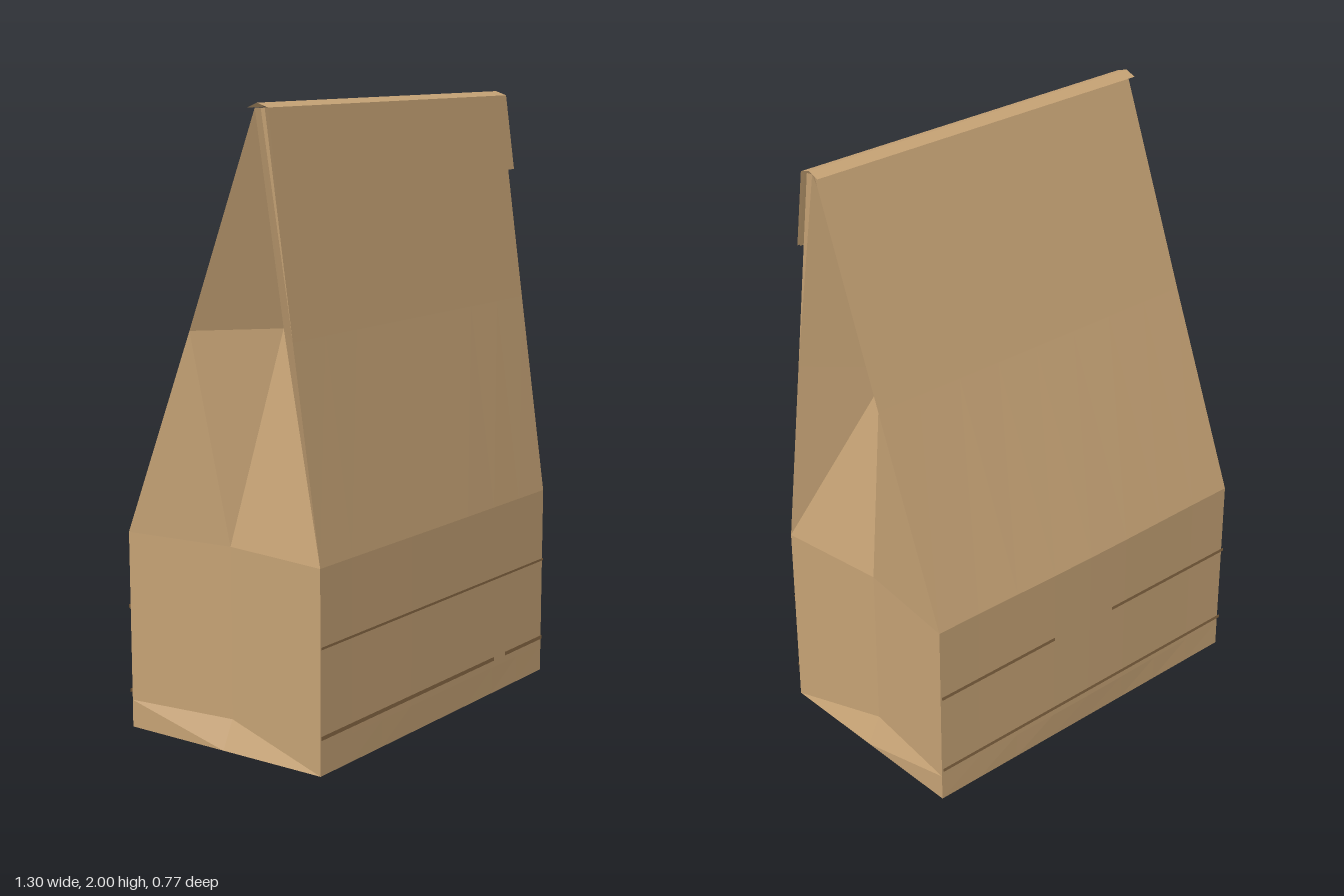
import * as THREE from 'three';

const paper = new THREE.MeshStandardMaterial({ name: 'kraft paper', color: 0xc4a174, side: THREE.DoubleSide, flatShading: true });
const crease = new THREE.MeshStandardMaterial({ name: 'crease brown', color: 0x8a6a45, side: THREE.DoubleSide, flatShading: true });

// Folded sheet: rows of points joined into quads
function sheet(name, rows, material = paper) {
  const positions = [];
  for (let r = 0; r < rows.length - 1; r++) {
    for (let c = 0; c < rows[r].length - 1; c++) {
      const a = rows[r][c], b = rows[r][c + 1], d = rows[r + 1][c], e = rows[r + 1][c + 1];
      positions.push(...a, ...b, ...e, ...a, ...e, ...d);
    }
  }
  const geometry = new THREE.BufferGeometry();
  geometry.setAttribute('position', new THREE.Float32BufferAttribute(positions, 3));
  geometry.computeVertexNormals();
  const mesh = new THREE.Mesh(geometry, material);
  mesh.name = name;
  return mesh;
}

export function createModel() {
  const bag = new THREE.Group();
  bag.name = 'paperBag';
  const W = 0.64;

  // Fold levels: height, front z, back z, gusset middle z, gusset inset
  const levels = [
    [0, 0.378, -0.376, 0, 0],
    [0.09, 0.378, -0.376, 0, 0.045],
    [0.645, 0.378, -0.378, 0, 0.045],
    [1.31, 0.28, -0.115, 0.083, 0.21],
    [1.985, 0.182, 0.145, 0.163, 0.005],
  ];

  // Front and back panels, the lower back bowed slightly outwards
  const columns = Array.from({ length: 9 }, (_, i) => -W + (i * W) / 4);
  const bow = (x, y) => (y > 0 && y < 1 ? 0.006 * Math.cos((x / W) * Math.PI / 2) ** 2 : 0);
  bag.add(sheet('frontPanel', levels.map(([y, f]) => columns.map((x) => [x, y, f + bow(x, y) * 0.3]))));
  bag.add(sheet('backPanel', levels.map(([y, , b]) => columns.map((x) => [-x, y, b - bow(x, y)]))));

  // Gusseted sides
  for (const s of [1, -1]) {
    bag.add(sheet(s > 0 ? 'leftGusset' : 'rightGusset', levels.map(([y, f, b, m, inset]) => [
      [s * W, y, f], [s * (W - inset), y, m], [s * W, y, b],
    ])));
  }

  // Flat base
  bag.add(sheet('base', [0.378, -0.376].map((z) => [[W, 0, z], [-W, 0, z]])));

  // Rolled top: ridge cap and the flap folded down over the front
  const across = (w, y, z) => [[-w, y, z], [w, y, z]];
  bag.add(sheet('topFold', [across(0.648, 1.985, 0.122), across(0.648, 2, 0.16), across(0.648, 1.987, 0.2)]));
  bag.add(sheet('frontFlap', [across(0.648, 1.987, 0.2), across(0.651, 1.74, 0.234)]));
  bag.add(sheet('flapLining', [across(0.645, 1.985, 0.188), across(0.648, 1.74, 0.226)]));

  // Thin crease lines around the lower part
  const line = (name, y, h, z, x0, x1) => bag.add(sheet(name,
    [y - h / 2, y + h / 2].map((yy) => [[x0, yy, z], [x1, yy, z]]), crease));
  line('frontUpperCrease', 0.4, 0.008, 0.382, -W, W);
  line('frontLowerCrease', 0.12, 0.013, 0.382, -W, 0.33);
  line('frontLowerCreaseEnd', 0.12, 0.013, 0.382, 0.4, W);
  line('backUpperCreaseLeft', 0.4, 0.012, -0.385, 0.16, W);
  line('backUpperCreaseRight', 0.4, 0.012, -0.385, -W, -0.1);
  line('backLowerCrease', 0.12, 0.012, -0.385, -W, W);

  return bag;
}
